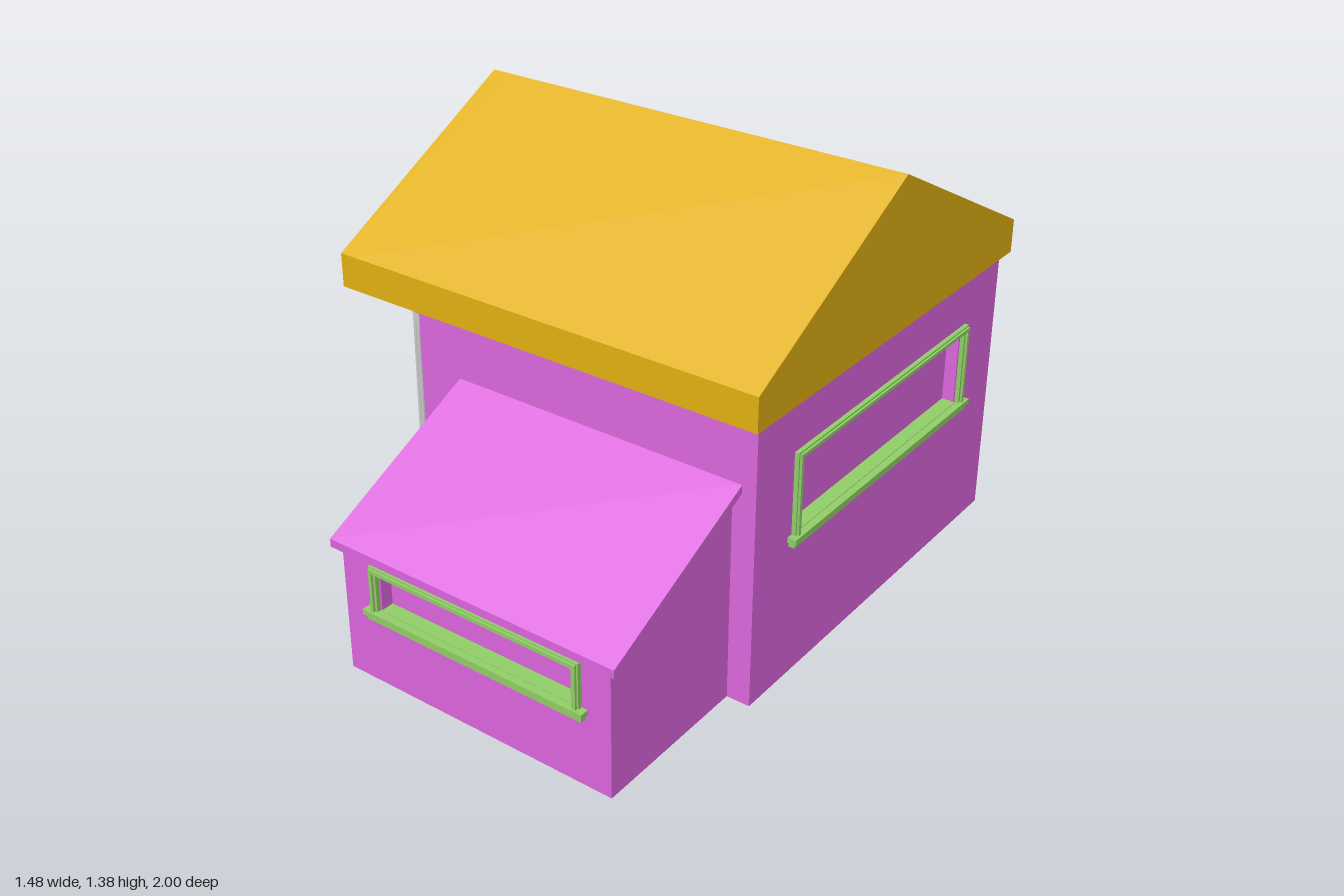
import * as THREE from 'three';

const material = (color, extra = {}) => new THREE.MeshStandardMaterial({ color, ...extra });
const PINK = material(0xdb66dd), GOLD = material(0xe0b012), GREEN = material(0x90cc66);
const RED = material(0xd9554a), GREY = material(0xcccccc);
const RECESS = 0.04; // depth of the window niches

function add(parent, name, geometry, mat, x = 0, y = 0, z = 0) {
  const mesh = new THREE.Mesh(geometry, mat);
  mesh.name = name;
  mesh.position.set(x, y, z);
  parent.add(mesh);
  return mesh;
}

// Box given by its extents
function block(parent, name, mat, [x0, x1], [y0, y1], [z0, z1]) {
  return add(parent, name, new THREE.BoxGeometry(x1 - x0, y1 - y0, z1 - z0), mat,
    (x0 + x1) / 2, (y0 + y1) / 2, (z0 + z1) / 2);
}

const polygon = (points) => new THREE.Shape(points.map((p) => new THREE.Vector2(...p)));
const rect = (x0, x1, y0, y1) => polygon([[x0, y0], [x1, y0], [x1, y1], [x0, y1]]);

function extrude(shape, depth, hole) {
  if (hole) shape.holes.push(hole);
  return new THREE.ExtrudeGeometry(shape, { depth, bevelEnabled: false, curveSegments: 24 });
}

// Group whose local +z points out of a wall
function facade(parent, name, angle, x, z) {
  const group = new THREE.Group();
  group.name = name;
  group.position.set(x, 0, z);
  group.rotation.y = angle;
  parent.add(group);
  return group;
}

// Wall panel with a window niche, moulded frame and sill
function windowWall(group, outline, x0, x1, y0, y1) {
  const inset = 0.03;
  add(group, 'wallPanel', extrude(polygon(outline), RECESS,
    rect(x0 + inset, x1 - inset, y0 + 0.02, y1 - inset)), PINK, 0, 0, -RECESS);
  const ring = (name, a, b, depth) => add(group, name, extrude(
    rect(x0 + a, x1 - a, y0, y1 - a), depth,
    rect(x0 + b, x1 - b, y0 + 0.012, y1 - b)), GREEN);
  ring('windowFrame', 0, 0.024, 0.014);
  ring('windowBead', 0.005, 0.016, 0.021);
  block(group, 'windowSill', GREEN, [x0 - 0.02, x1 + 0.02], [y0 + 0.004, y0 + 0.02], [0, 0.028]);
  block(group, 'sillMoulding', GREEN, [x0 - 0.012, x1 + 0.012], [y0 - 0.013, y0 + 0.005], [0, 0.019]);
  block(group, 'innerSill', GREEN, [x0 + inset, x1 - inset], [y0 + 0.005, y0 + 0.022], [-RECESS, 0.005]);
}

function buildColumn(parent, x, z) {
  const column = new THREE.Group();
  column.name = 'column';
  column.position.set(x, 0, z);
  parent.add(column);
  const lathe = (name, pts) => add(column, name,
    new THREE.LatheGeometry(pts.map((p) => new THREE.Vector2(...p)), 32),
    material(0xcccccc, { flatShading: true }));
  lathe('columnBase', [[0, 0], [0.054, 0], [0.057, 0.006], [0.057, 0.024], [0.051, 0.03], [0.05, 0.037],
    [0.055, 0.042], [0.055, 0.052], [0.049, 0.06], [0, 0.06]]);
  lathe('columnCapital', [[0, 0.765], [0.047, 0.775], [0.047, 0.788], [0.053, 0.795], [0.053, 0.815],
    [0.049, 0.822], [0.048, 0.832], [0.057, 0.842], [0.069, 0.868], [0.07, 0.898], [0, 0.898]]);
  // Fluted shaft: grooves fade out near both ends
  const flutes = 14, shaft = new THREE.CylinderGeometry(1, 1, 0.73, flutes * 8, 24, true);
  const pos = shaft.attributes.position;
  for (let i = 0; i < pos.count; i++) {
    const px = pos.getX(i), pz = pos.getZ(i), y = pos.getY(i);
    const wave = Math.max(0, Math.cos(Math.atan2(pz, px) * flutes) + 0.35) / 1.35;
    const fade = THREE.MathUtils.clamp((0.335 - Math.abs(y)) / 0.025, 0, 1);
    const r = 0.0485 - 0.003 * (y / 0.73 + 0.5) - 0.007 * Math.sqrt(wave) * fade;
    pos.setXYZ(i, px * r, y, pz * r);
  }
  shaft.computeVertexNormals();
  add(column, 'columnShaft', shaft, GREY, 0, 0.415, 0);
}

function archShape(halfWidth, spring) {
  const s = new THREE.Shape();
  s.moveTo(-halfWidth, 0);
  s.lineTo(halfWidth, 0);
  s.lineTo(halfWidth, spring);
  s.absarc(0, spring, halfWidth, 0, Math.PI, false);
  s.closePath();
  return s;
}

function buildDoor(parent) {
  const door = facade(parent, 'door', -Math.PI / 2, -0.475, -0.235);
  const spring = 0.425;
  add(door, 'doorLeaf', extrude(archShape(0.22, spring), 0.01), RED);
  add(door, 'doorFrame', extrude(archShape(0.25, spring), 0.025, archShape(0.2, spring)), RED);
  add(door, 'doorInnerTrim', extrude(archShape(0.202, spring), 0.017, archShape(0.18, spring)), RED);
  for (const s of [-1, 1]) {
    block(door, 'doorPlinth', RED, [s * 0.226 - 0.028, s * 0.226 + 0.028], [0, 0.06], [0, 0.029]);
  }
  // Ornamental knocker: boss, ring and curled leaves
  const knocker = new THREE.Group();
  knocker.name = 'doorKnocker';
  knocker.position.set(0, 0.45, 0.012);
  door.add(knocker);
  add(knocker, 'knockerBoss', new THREE.SphereGeometry(0.026, 16, 12), GREY).scale.z = 0.7;
  add(knocker, 'knockerRing', new THREE.TorusGeometry(0.034, 0.006, 8, 24), GREY, 0, -0.03, 0.008);
  for (const s of [-1, 1]) {
    for (const t of [-1, 1]) {
      const curl = new THREE.CatmullRomCurve3([[0.01, 0.01], [0.045, 0.02], [0.07, 0.045],
        [0.055, 0.062], [0.043, 0.047]].map(([x, y]) => new THREE.Vector3(x * s, y * t, 0.003)));
      add(knocker, 'knockerLeaf', new THREE.TubeGeometry(curl, 16, 0.006, 6), GREY);
    }
  }
  for (const y of [0.06, -0.085]) {
    add(knocker, 'knockerTip', new THREE.SphereGeometry(0.012, 10, 8), GREY, 0, y, 0).scale.y = 2;
  }
}

export function createModel() {
  const house = new THREE.Group();
  house.name = 'house';

  // Main body
  block(house, 'mainBody', PINK, [-0.475, 0.71 - RECESS], [0, 0.9], [-0.905 + RECESS, 0.445]);
  windowWall(facade(house, 'rightWall', Math.PI / 2, 0.71, 0),
    [[-0.445, 0], [0.905, 0], [0.905, 0.9], [-0.445, 0.9]], -0.26, 0.705, 0.453, 0.735);
  windowWall(facade(house, 'backWall', Math.PI, 0, -0.905),
    [[-0.71 + RECESS, 0], [0.475, 0], [0.475, 0.9], [-0.71 + RECESS, 0.9]], 0.015, 0.365, 0.195, 0.73);
  block(house, 'backLedge', PINK, [0.11, 0.59], [0.61, 0.635], [-1, -0.9]);

  // Front extension with lean-to roof (profiles run along z, extruded along x)
  const across = (name, shape, x0, x1, mat, hole) => {
    add(house, name, extrude(shape, x1 - x0, hole), mat, x0).rotation.y = Math.PI / 2;
  };
  across('extensionBody', polygon([[-0.935, 0], [-0.445, 0], [-0.445, 0.685], [-0.935, 0.45]]),
    -0.305 + RECESS, 0.635, PINK);
  windowWall(facade(house, 'extensionFront', 0, 0, 0.975),
    [[-0.305, 0], [0.635, 0], [0.635, 0.432], [-0.305, 0.432]], -0.195, 0.54, 0.233, 0.397);
  windowWall(facade(house, 'extensionSide', -Math.PI / 2, -0.305, 0),
    [[0.445, 0], [0.935, 0], [0.935, 0.45], [0.445, 0.685]], 0.57, 0.845, 0.218, 0.455);
  across('extensionRoof', polygon([[-1, 0.415], [-0.44, 0.682], [-0.44, 0.708], [-1, 0.441]]),
    -0.325, 0.665, PINK);

  // Gabled roof, with a sunken triangle in the gable above the porch
  const gable = () => polygon([[-0.48, 0.897], [0.94, 0.897], [0.94, 1.005], [0.23, 1.38], [-0.48, 1.005]]);
  across('roof', gable(), -0.695, 0.73, GOLD);
  across('roofGableRim', gable(), -0.745, -0.695, GOLD,
    polygon([[-0.36, 1.03], [0.82, 1.03], [0.23, 1.342]]));

  // Porch
  for (const z of [-0.745, 0.275]) buildColumn(house, -0.605, z);
  buildDoor(house);

  return house;
}
